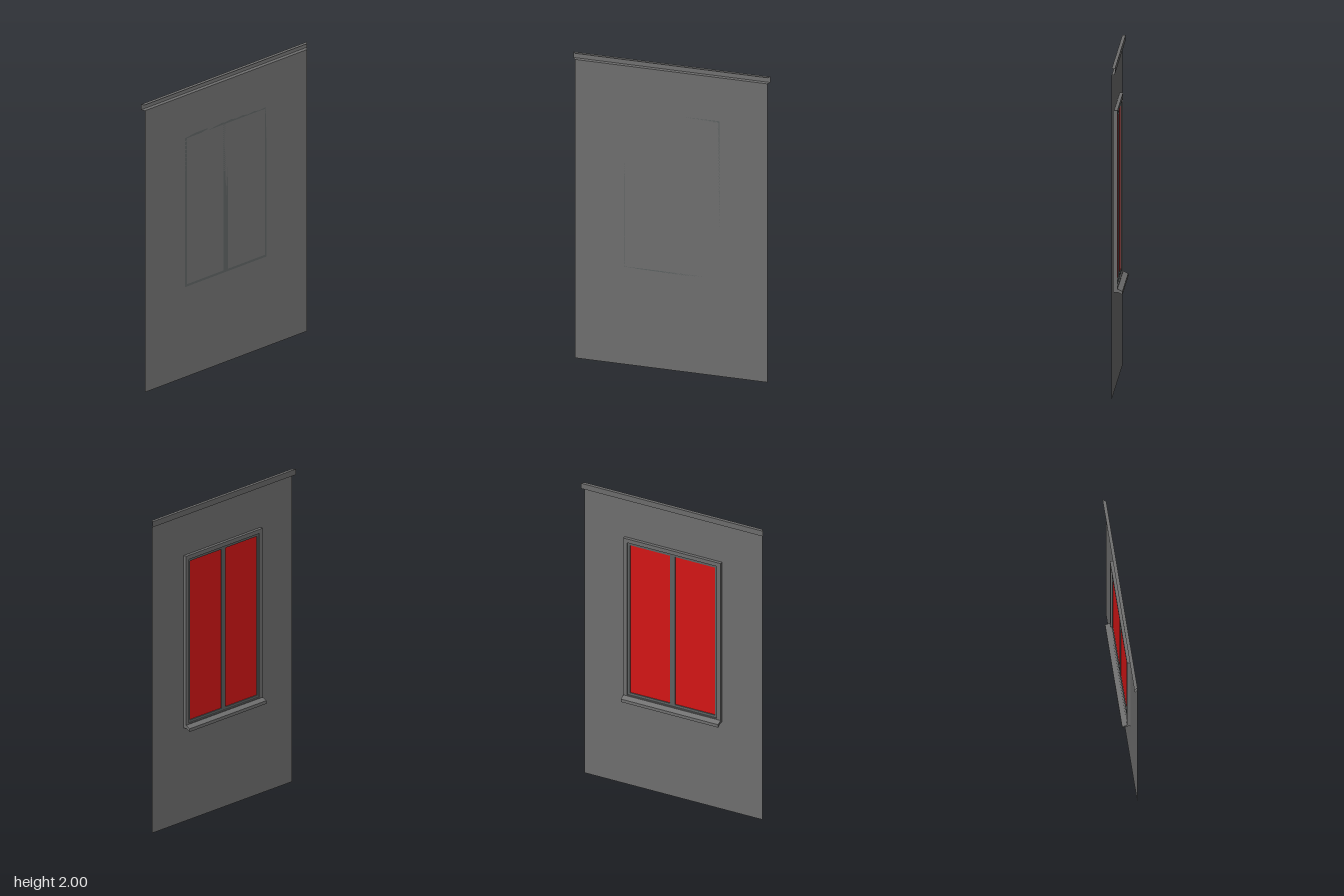
import * as THREE from 'three';

const WALL_X = 0.025; // plane of the wall sheet; the outside faces -x

export function createModel() {
  const model = new THREE.Group();
  model.name = 'windowWall';

  const wallGrey = new THREE.MeshStandardMaterial({ color: 0x6e6e6e, side: THREE.DoubleSide });
  wallGrey.name = 'wallGrey';
  const sashGrey = new THREE.MeshStandardMaterial({ color: 0x5c6161 });
  sashGrey.name = 'sashGrey';
  const paneRed = new THREE.MeshStandardMaterial({ color: 0xd41515, side: THREE.DoubleSide });
  paneRed.name = 'paneRed';

  const add = (name, geometry, material, parent = model) => {
    const mesh = new THREE.Mesh(geometry, material);
    mesh.name = name;
    parent.add(mesh);
    return mesh;
  };

  // Open sheet along z from profile points [x, y, half length], facing -x and up
  const sheet = (profile) => {
    const v = [];
    for (let i = 0; i < profile.length - 1; i++) {
      const [x0, y0, h0] = profile[i];
      const [x1, y1, h1] = profile[i + 1];
      v.push(x0, y0, -h0, x0, y0, h0, x1, y1, h1);
      v.push(x0, y0, -h0, x1, y1, h1, x1, y1, -h1);
    }
    const g = new THREE.BufferGeometry();
    g.setAttribute('position', new THREE.Float32BufferAttribute(v, 3));
    g.computeVertexNormals();
    return g;
  };

  // Rectangle in the wall plane: half width, bottom, top
  const rect = (w, y0, y1, Type = THREE.Shape) => new Type([
    new THREE.Vector2(-w, y0), new THREE.Vector2(w, y0),
    new THREE.Vector2(w, y1), new THREE.Vector2(-w, y1),
  ]);

  // Rectangular ring standing out from the wall by depth
  const ring = (outer, inner, depth) => {
    const shape = rect(...outer);
    shape.holes.push(rect(...inner, THREE.Path));
    return new THREE.ExtrudeGeometry(shape, { depth, bevelEnabled: false })
      .rotateY(-Math.PI / 2).translate(WALL_X, 0, 0);
  };

  // Wall and the mitred, open-backed trim along its top
  add('wall', sheet([[WALL_X, 0, 0.6], [WALL_X, 1.96, 0.6]]), wallGrey);
  add('topTrim', sheet([
    [WALL_X, 1.96, 0.6], [0.007, 1.963, 0.615], [0.005, 2, 0.615], [WALL_X, 2, 0.6],
  ]), wallGrey);

  // Window: outer casing, inner sash, centre bar and two panes
  const window = new THREE.Group();
  window.name = 'window';
  model.add(window);
  add('casing', ring([0.328, 0.6, 1.7], [0.302, 0.626, 1.674], 0.02), wallGrey, window);
  add('sash', ring([0.302, 0.626, 1.674], [0.288, 0.642, 1.658], 0.013), sashGrey, window);
  add('centreBar', new THREE.BoxGeometry(0.013, 1.016, 0.034).translate(0.0185, 1.15, 0), sashGrey, window);
  for (const side of [-1, 1]) {
    const pane = add('pane', new THREE.BoxGeometry(0.004, 1.016, 0.271), paneRed, window);
    pane.position.set(0.02, 1.15, side * 0.1525);
  }

  // Sloping sill
  const sill = new THREE.Shape([
    [WALL_X, 0.6], [WALL_X, 0.62], [0.005, 0.62], [-0.025, 0.606], [-0.025, 0.586], [0.003, 0.6],
  ].map(([x, y]) => new THREE.Vector2(x, y)));
  add('sill', new THREE.ExtrudeGeometry(sill, { depth: 0.656, bevelEnabled: false })
    .translate(0, 0, -0.328), wallGrey, window);

  return model;
}
